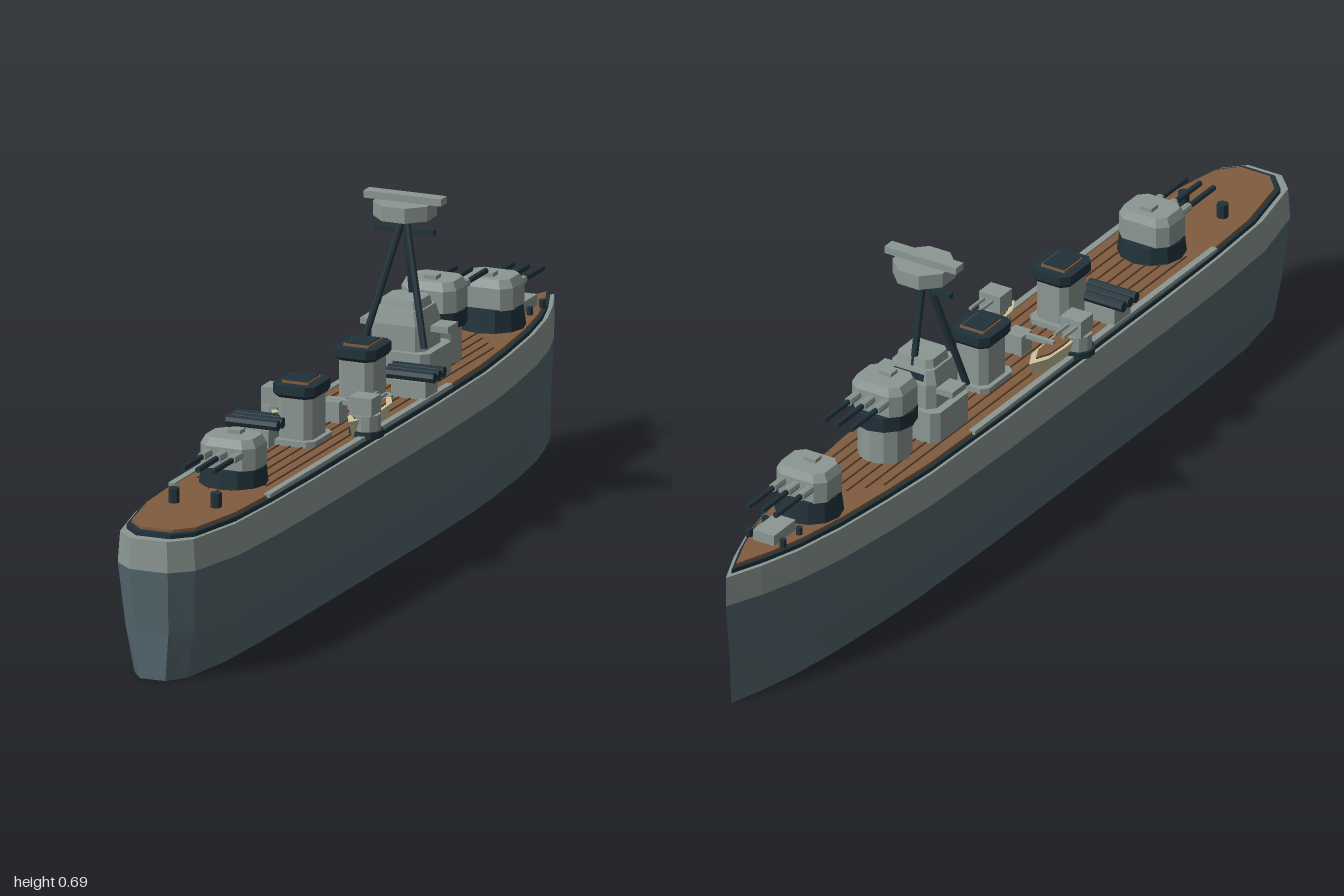
import * as THREE from 'three';

const mat = (name, color, side = THREE.FrontSide) => {
  const m = new THREE.MeshStandardMaterial({ color, flatShading: true, side });
  m.name = name;
  return m;
};

export function createModel() {
  const ship = new THREE.Group();
  ship.name = 'warship';
  const grey = mat('light grey', 0x8c9893);
  const hullGrey = mat('hull blue grey', 0x566970);
  const dark = mat('dark navy', 0x21323a);
  const wood = mat('deck wood', 0x815c40);
  const seam = mat('deck seam', 0x553a28);
  const cream = mat('boat cream', 0xcdc39c);

  const add = (parent, name, geo, material, x = 0, y = 0, z = 0) => {
    const m = new THREE.Mesh(geo, material);
    m.name = name;
    m.position.set(x, y, z);
    parent.add(m);
    return m;
  };
  const group = (name, x, y, z) => {
    const g = new THREE.Group();
    g.name = name;
    g.position.set(x, y, z);
    ship.add(g);
    return g;
  };
  const box = (w, h, d) => new THREE.BoxGeometry(w, h, d);
  const cyl = (r, h, n = 10, r2 = r) => new THREE.CylinderGeometry(r2, r, h, n);

  // Closed solid from an [x, z] ring (clockwise from above) scaled at levels [y, scaleX, scaleZ]
  const loft = (ring, levels) => {
    const n = ring.length, pos = [], idx = [];
    for (const [y, sx, sz] of levels) for (const [x, z] of ring) pos.push(x * sx, y, z * sz);
    for (let l = 0; l < levels.length - 1; l++)
      for (let i = 0; i < n; i++) {
        const a = l * n + i, b = l * n + (i + 1) % n;
        idx.push(a, a + n, b + n, a, b + n, b);
      }
    const top = (levels.length - 1) * n;
    for (let i = 1; i < n - 1; i++) idx.push(0, i, i + 1, top, top + i + 1, top + i);
    const g = new THREE.BufferGeometry();
    g.setAttribute('position', new THREE.Float32BufferAttribute(pos, 3));
    g.setIndex(idx);
    const flat = g.toNonIndexed();
    flat.computeVertexNormals();
    return flat;
  };
  // Rectangle ring with cut corners
  const chamfer = (w, d, c) => [[w - c, -d], [w, -d + c], [w, d - c], [w - c, d],
    [-w + c, d], [-w, d - c], [-w, -d + c], [-w + c, -d]];
  const rod = (parent, name, a, b, r, material) => {
    const p = new THREE.Vector3(...a), q = new THREE.Vector3(...b);
    const m = add(parent, name, cyl(r, p.distanceTo(q), 8), material);
    m.position.copy(p).lerp(q, 0.5);
    m.quaternion.setFromUnitVectors(new THREE.Vector3(0, 1, 0), q.sub(p).normalize());
    return m;
  };

  // Hull and deck
  const half = [[0.035, -0.92], [0.065, -0.83], [0.09, -0.71], [0.109, -0.56], [0.122, -0.42],
    [0.128, -0.15], [0.128, 0.45], [0.125, 0.65], [0.116, 0.82], [0.085, 0.96], [0.042, 1]];
  const outline = [[0, -1], ...half, ...half.map(([x, z]) => [-x, z]).reverse()];
  add(ship, 'lowerHull', loft(outline, [[0, 0.67, 0.98], [0.1, 0.88, 0.985], [0.23, 1, 1]]), hullGrey);
  add(ship, 'upperHull', loft(outline, [[0.23, 1, 1], [0.295, 0.94, 1]]), grey);
  add(ship, 'deckRim', loft(outline, [[0.295, 0.89, 0.978], [0.304, 0.89, 0.978]]), dark);
  add(ship, 'deck', loft(outline, [[0.3, 0.83, 0.962], [0.31, 0.83, 0.962]]), wood);
  for (let i = -3; i <= 3; i++)
    add(ship, 'plankSeam', box(0.003, 0.002, 1.3 - Math.abs(i) * 0.06), seam, i * 0.025, 0.311, 0.03);
  for (const s of [-1, 1])
    add(ship, 'sideWalkway', box(0.014, 0.008, 0.9), grey, s * 0.104, 0.309, 0.2);

  // Triple gun turrets; dir is the z direction the guns point
  const turret = (z, base, dir) => {
    const g = group('gunTurret', 0, base, z);
    if (dir < 0) g.rotation.y = Math.PI;
    add(g, 'turretHouse', loft(chamfer(0.06, 0.048, 0.02),
      [[0, 1, 1], [0.045, 1, 1], [0.062, 0.85, 0.85]]), grey);
    add(g, 'roofHatch', box(0.028, 0.008, 0.024), grey, 0, 0.066, -0.012);
    for (const x of [-0.033, 0, 0.033]) {
      rod(g, 'gunSleeve', [x, 0.032, 0.03], [x, 0.032, 0.085], 0.009, grey);
      rod(g, 'gunBarrel', [x, 0.032, 0.08], [x, 0.032, 0.178], 0.006, dark);
    }
  };
  add(ship, 'aftBarbette', cyl(0.07, 0.036, 12, 0.066), dark, 0, 0.328, 0.58);
  turret(0.58, 0.346, 1);
  add(ship, 'foreBarbette', cyl(0.07, 0.046, 12, 0.064), dark, 0, 0.333, -0.69);
  turret(-0.69, 0.354, -1);
  add(ship, 'raisedBarbette', cyl(0.055, 0.08, 12), grey, 0, 0.35, -0.41);
  add(ship, 'raisedBarbetteRing', cyl(0.066, 0.032, 12), dark, 0, 0.404, -0.41);
  turret(-0.41, 0.42, -1);

  // Bridge tower with wings
  const bridge = group('bridge', 0, 0, -0.27);
  add(bridge, 'bridgeBase', loft(chamfer(0.075, 0.066, 0.015), [[0.31, 1, 1], [0.378, 1, 1]]), grey);
  add(bridge, 'bridgeTower', loft(chamfer(0.058, 0.054, 0.015), [[0.378, 1, 1], [0.43, 1, 1], [0.46, 0.85, 0.88]]), grey);
  add(bridge, 'bridgeTop', loft(chamfer(0.045, 0.04, 0.012), [[0.458, 1, 1], [0.478, 0.9, 0.9]]), grey);
  add(bridge, 'bridgeWings', box(0.192, 0.013, 0.05), grey, 0, 0.418, -0.015);
  add(bridge, 'bridgeWindows', box(0.07, 0.014, 0.006), dark, 0, 0.445, -0.05);

  // Tripod mast with yard and director
  const mast = group('mast', 0, 0, -0.265);
  for (const s of [-1, 1]) rod(mast, 'mastLeg', [s * 0.066, 0.39, 0.055], [0, 0.655, 0], 0.0075, dark);
  rod(mast, 'mastLeg', [0, 0.4, -0.05], [0, 0.655, 0], 0.0075, dark);
  add(mast, 'yard', box(0.13, 0.011, 0.012), dark, 0, 0.616, 0);
  add(mast, 'directorDrum', cyl(0.064, 0.031, 8), grey, 0, 0.661, 0).rotation.y = Math.PI / 8;
  add(mast, 'rangefinderBar', box(0.17, 0.015, 0.028), grey, 0, 0.684, 0);

  // Funnels
  for (const z of [-0.055, 0.245]) {
    const f = group('funnel', 0, 0, z);
    add(f, 'funnelFoot', loft(chamfer(0.048, 0.056, 0.014), [[0.309, 1, 1], [0.322, 1, 1]]), grey);
    add(f, 'funnelBody', loft(chamfer(0.038, 0.045, 0.014), [[0.32, 1, 1], [0.41, 1, 1]]), grey);
    add(f, 'funnelCap', loft(chamfer(0.046, 0.054, 0.016), [[0.408, 0.9, 0.9], [0.415, 1, 1], [0.434, 1, 1]]), dark);
    add(f, 'funnelRim', box(0.056, 0.006, 0.066), wood, 0, 0.436, 0);
    add(f, 'funnelMouth', box(0.05, 0.002, 0.06), dark, 0, 0.44, 0);
  }

  // Torpedo tubes lying across the deck
  for (const [x, z] of [[0.07, -0.152], [-0.072, 0.3]]) {
    const t = group('torpedoMount', x, 0, z);
    add(t, 'mountBase', box(0.075, 0.036, 0.06), grey, 0, 0.328, 0);
    for (const k of [-1, 0, 1])
      rod(t, 'torpedoTube', [-0.056, 0.357, k * 0.023], [0.056, 0.357, k * 0.023], 0.0115, dark);
  }

  // Lifeboats and side guns, mirrored
  const boatRing = [[0, -0.105], [0.02, -0.065], [0.024, 0], [0.02, 0.065], [0, 0.105],
    [-0.02, 0.065], [-0.024, 0], [-0.02, 0.065 * -1]];
  for (const s of [-1, 1]) {
    const b = group('lifeboat', s * 0.084, 0, 0.098);
    add(b, 'boatHull', loft(boatRing, [[0.312, 0.6, 0.85], [0.345, 1, 1]]), cream);
    add(b, 'boatCover', loft(boatRing, [[0.344, 0.7, 0.75], [0.349, 0.7, 0.75]]), wood);
    const g = group('sideGun', s * 0.1, 0, 0.15);
    add(g, 'gunPlatform', cyl(0.035, 0.014, 10), dark, 0, 0.313, 0);
    add(g, 'gunPedestal', cyl(0.029, 0.035, 10), grey, 0, 0.335, 0);
    add(g, 'gunHouse', box(0.05, 0.038, 0.045), grey, -s * 0.004, 0.37, 0);
    for (const k of [-1, 1])
      rod(g, 'sideGunBarrel', [k * 0.01, 0.375, -0.02], [k * 0.01, 0.375, -0.072], 0.004, grey);
  }

  // Boat beam amidships
  add(ship, 'beamPost', box(0.04, 0.045, 0.04), grey, 0, 0.331, 0.085);
  add(ship, 'boatBeam', box(0.17, 0.01, 0.01), grey, 0, 0.35, 0.085);

  // Deck fittings fore and aft
  for (const s of [-1, 1]) {
    add(ship, 'sternBollard', cyl(0.012, 0.03, 8), dark, s * 0.046, 0.325, 0.77);
    for (const z of [-0.79, -0.85])
      add(ship, 'bowBollard', cyl(0.007, 0.018, 8), dark, s * 0.04, 0.317, z);
  }
  add(ship, 'anchorWinch', box(0.05, 0.024, 0.08), grey, 0, 0.321, -0.82);

  return ship;
}
